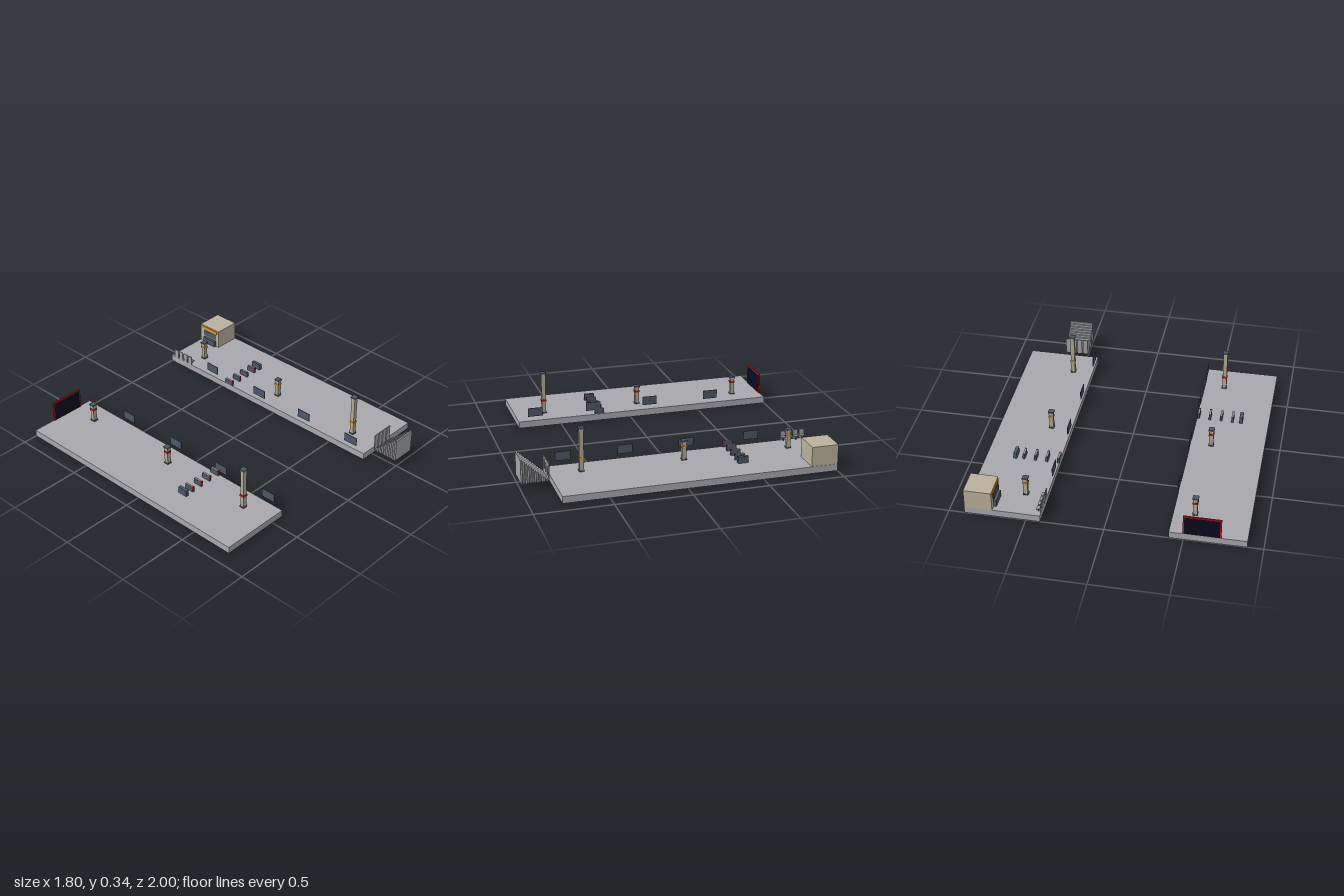
import * as THREE from 'three';

const mat = (name, color) => {
  const m = new THREE.MeshStandardMaterial({ color });
  m.name = name;
  return m;
};

export function createModel() {
  const concrete = mat('concrete', 0xa9a8ad);
  const steel = mat('steel', 0xa2a3a6);
  const slate = mat('slate', 0x4d5866);
  const stone = mat('pillarStone', 0xb3a998);
  const plaster = mat('plaster', 0xbcb09c);
  const red = mat('red', 0xc81414);
  const orange = mat('orange', 0xd8941c);
  const navy = mat('navy', 0x0a0a20);

  const root = new THREE.Group();
  root.name = 'station';

  const group = (name, parent = root) => {
    const g = new THREE.Group();
    g.name = name;
    parent.add(g);
    return g;
  };
  // Box given by its limits on each axis
  const box = (name, material, [x0, x1], [y0, y1], [z0, z1], parent = root) => {
    const m = new THREE.Mesh(new THREE.BoxGeometry(x1 - x0, y1 - y0, z1 - z0), material);
    m.position.set((x0 + x1) / 2, (y0 + y1) / 2, (z0 + z1) / 2);
    m.name = name;
    parent.add(m);
    return m;
  };
  const around = (c, w) => [c - w / 2, c + w / 2];
  const FLOOR = 0.046;

  // Square pillar with base, coloured band, collars and cap
  const pillar = (x, z, top, bandMaterial, parent) => {
    const g = group('pillar', parent);
    const slab = (name, m, w, y0, y1) => box(name, m, around(x, w), [y0, y1], around(z, w), g);
    slab('pillarShaft', stone, 0.028, FLOOR, top - 0.01);
    slab('pillarBase', slate, 0.034, FLOOR, FLOOR + 0.008);
    slab('pillarBand', bandMaterial, 0.034, 0.132, 0.146);
    slab('pillarCollar', stone, 0.033, top - 0.018, top - 0.01);
    slab('pillarCap', slate, 0.038, top - 0.01, top);
  };

  // Ticket gate: slate body, steel top, red reader at the front end
  const gate = (x, z, parent) => {
    const g = group('ticketGate', parent);
    box('gateBody', slate, around(x, 0.014), [FLOOR, 0.082], around(z, 0.066), g);
    box('gateTop', steel, around(x, 0.012), [0.082, 0.086], around(z, 0.056), g);
    box('gateReader', red, around(x, 0.014), [0.072, 0.087], [z + 0.028, z + 0.036], g);
  };

  // The two platforms with their pillars and signs
  for (const side of [-1, 1]) {
    const g = group(side < 0 ? 'rightPlatform' : 'leftPlatform');
    box('platformSlab', concrete, around(side * 0.653, 0.49), [0, FLOOR], [-1, 0.797], g);
    const band = side < 0 ? red : orange;
    pillar(side * 0.545, -0.8, 0.18, band, g);
    pillar(side * 0.545, -0.083, 0.18, band, g);
    pillar(side * 0.545, 0.592, 0.342, band, g);
    for (const z of [-0.588, -0.14, 0.27, 0.68])
      box('edgeSign', slate, around(side * 0.411, 0.005), [0.077, 0.137], around(z, 0.102), g);
  }

  // Ticket gate rows, each closed by a wider cabinet
  const gatesRight = group('gateRowRight');
  for (let i = 0; i < 4; i++) gate(-0.419 - i * 0.0775, 0.224, gatesRight);
  box('gateCabinet', slate, around(-0.71, 0.022), [FLOOR, 0.09], around(0.225, 0.07), gatesRight);
  const gatesLeft = group('gateRowLeft');
  for (let i = 0; i < 4; i++) gate(0.414 + i * 0.0775, -0.427, gatesLeft);
  box('gateCabinet', slate, around(0.704, 0.022), [FLOOR, 0.09], around(-0.428, 0.07), gatesLeft);

  // Big display with a red frame
  const display = group('display');
  box('displayPanel', navy, [-0.727, -0.503], [FLOOR, 0.178], [-0.9985, -0.9925], display);
  for (const x of [-0.731, -0.499])
    box('displayFrameSide', red, around(x, 0.009), [FLOOR, 0.187], [-1, -0.991], display);
  box('displayFrameTop', red, [-0.7355, -0.4945], [0.178, 0.187], [-1, -0.991], display);

  // Kiosk with counter and sign strip on the platform side
  const kiosk = group('kiosk');
  box('kioskBody', plaster, [0.716, 0.896], [FLOOR, 0.178], [-1, -0.822], kiosk);
  box('kioskCounter', slate, [0.697, 0.716], [FLOOR, 0.09], [-0.96, -0.848], kiosk);
  box('kioskWindow', slate, [0.712, 0.716], [0.1, 0.14], [-0.965, -0.845], kiosk);
  box('kioskSign', orange, [0.711, 0.716], [0.152, 0.172], [-0.985, -0.835], kiosk);

  // Row of four seats
  const seats = group('seatRow');
  for (let i = 0; i < 4; i++) {
    const z = -0.95 + i * 0.0445;
    box('seatBack', steel, [0.407, 0.413], [FLOOR, 0.11], around(z, 0.034), seats);
    box('seatPan', steel, [0.413, 0.438], [0.068, 0.074], around(z, 0.034), seats);
    box('seatLeg', slate, [0.424, 0.43], [FLOOR, 0.068], around(z, 0.008), seats);
  }

  // Stairs made of separate upright slabs, rising away from the platform
  const stairs = group('stairs');
  const steps = 12;
  for (let i = 0; i < steps; i++) {
    const z = 0.837 + i * 0.0144;
    const top = 0.062 + (i / (steps - 1)) * 0.144;
    box('step', steel, [0.486, 0.652], [0.048, top], [z - 0.006, z + 0.0045], stairs);
  }

  // Upright barrier plates at the foot of the stairs
  const barrier = group('stairBarrier');
  for (let i = 0; i < 4; i++)
    box('barrierPlate', steel, around(0.506 + i * 0.042, 0.034), [0.048, 0.165], around(0.822, 0.006), barrier);

  return root;
}
